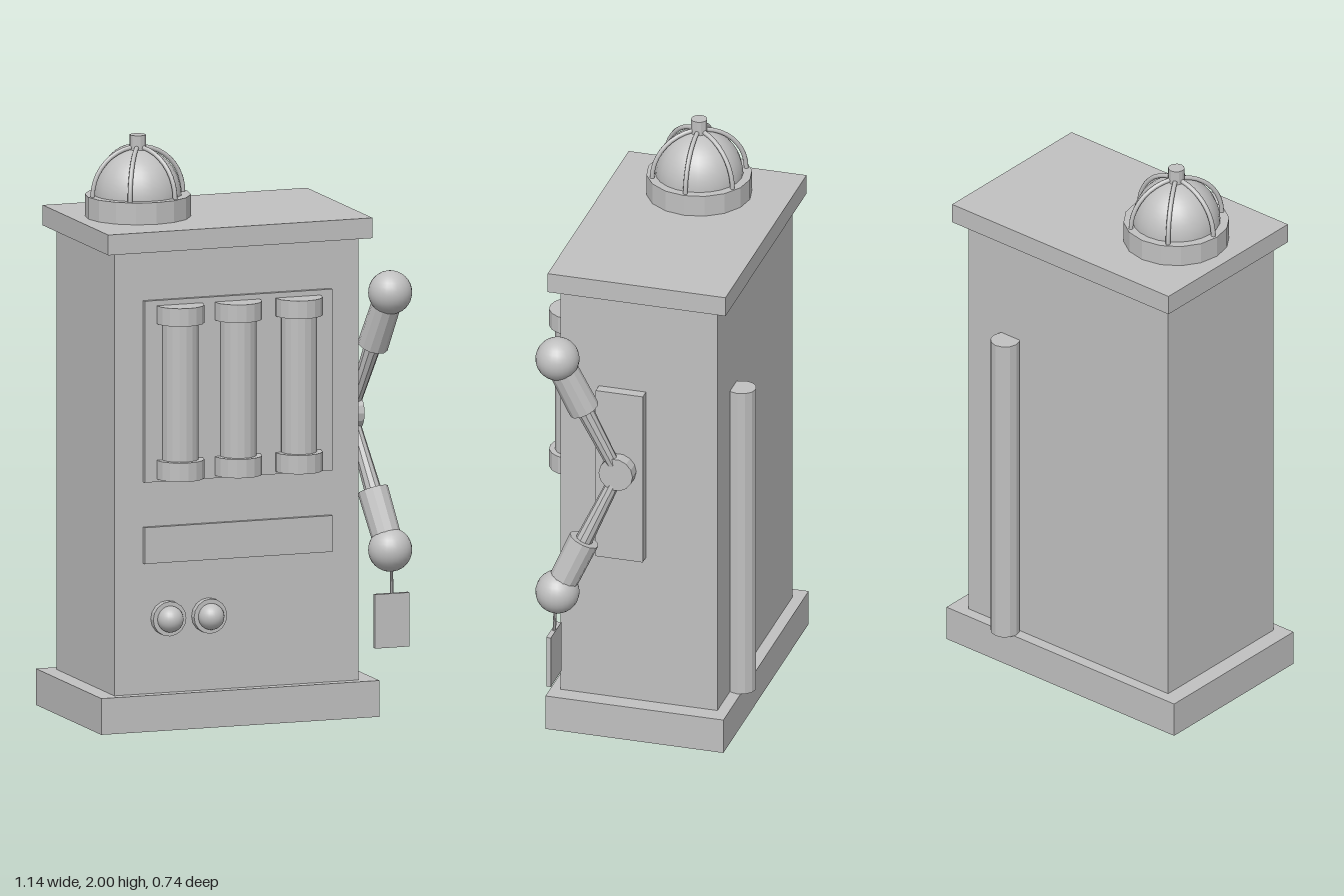
import * as THREE from 'three';

export function createModel() {
  const group = new THREE.Group();
  const grey = new THREE.MeshStandardMaterial({ color: 0xc0c0c0 });

  const add = (name, geo, x = 0, y = 0, z = 0) => {
    const m = new THREE.Mesh(geo, grey);
    m.name = name;
    m.position.set(x, y, z);
    group.add(m);
    return m;
  };
  // Box given by its limits on each axis
  const box = (name, x0, x1, y0, y1, z0, z1) =>
    add(name, new THREE.BoxGeometry(x1 - x0, y1 - y0, z1 - z0),
      (x0 + x1) / 2, (y0 + y1) / 2, (z0 + z1) / 2);
  // Faceted cylinder between two points
  const rod = (name, a, b, r0, r1 = r0, sides = 16) => {
    const p = new THREE.Vector3(...a), q = new THREE.Vector3(...b);
    const dir = q.clone().sub(p);
    const geo = new THREE.CylinderGeometry(r1, r0, dir.length(), sides).toNonIndexed();
    geo.computeVertexNormals();
    const m = add(name, geo);
    m.position.copy(p).add(q).multiplyScalar(0.5);
    m.quaternion.setFromUnitVectors(new THREE.Vector3(0, 1, 0), dir.normalize());
    return m;
  };
  const ball = (name, r, x, y, z) => add(name, new THREE.SphereGeometry(r, 24, 16), x, y, z);

  // Cabinet
  box('base', -0.575, 0.433, 0, 0.125, -0.33, 0.3);
  box('body', -0.515, 0.37, 0.125, 1.65, -0.29, 0.265);
  box('roof', -0.55, 0.408, 1.65, 1.72, -0.33, 0.3);

  // Front panels
  box('tubePanel', -0.41, 0.27, 0.855, 1.48, 0.265, 0.28);
  box('slotPanel', -0.41, 0.27, 0.575, 0.7, 0.265, 0.28);

  // Three capped tubes
  for (const x of [-0.285, -0.075, 0.145]) {
    rod('tube', [x, 0.93, 0.288], [x, 1.4, 0.288], 0.062);
    rod('tubeLowerCap', [x, 0.865, 0.288], [x, 0.93, 0.288], 0.082);
    rod('tubeUpperCap', [x, 1.4, 0.288], [x, 1.462, 0.288], 0.082);
  }

  // Round buttons
  for (const x of [-0.323, -0.175]) {
    rod('buttonCollar', [x, 0.382, 0.26], [x, 0.382, 0.29], 0.06);
    ball('button', 0.045, x, 0.382, 0.295);
  }

  // Caged lamp on the roof
  const lx = -0.323, lz = -0.018;
  rod('lampRing', [lx, 1.72, lz], [lx, 1.795, lz], 0.18);
  add('lampDome', new THREE.SphereGeometry(0.15, 24, 12, 0, Math.PI * 2, 0, Math.PI / 2)
    .scale(1, 1.08, 1), lx, 1.79, lz);
  for (let i = 0; i < 3; i++) {
    const wire = add('lampCageWire', new THREE.TorusGeometry(0.164, 0.008, 8, 20, Math.PI), lx, 1.795, lz);
    wire.rotation.y = i * Math.PI / 3;
  }
  rod('lampFinial', [lx, 1.94, lz], [lx, 2, lz], 0.028, 0.028, 12);

  // Side plate and hinge for the handset arm
  box('sidePlate', 0.37, 0.408, 0.67, 1.3, -0.037, 0.13);
  rod('armHub', [0.405, 1.012, 0.046], [0.453, 1.012, 0.046], 0.06, 0.06, 14);

  // Mirrored upper and lower arms
  for (const s of [1, -1]) {
    const at = t => [0.425 + 0.07 * t, 1.005 + s * 0.443 * t, 0.045 + 0.194 * t];
    rod('armRod', at(0), at(0.6), 0.022, 0.03, 10);
    rod('armSleeve', at(0.56), at(0.95), 0.053, 0.05, 12);
    ball('armBall', 0.075, ...at(1));
  }

  // Hanging tag
  rod('tagString', [0.497, 0.5, 0.246], [0.497, 0.4, 0.25], 0.006, 0.006, 8);
  box('tag', 0.433, 0.557, 0.228, 0.414, 0.244, 0.26);

  // Pipe up the back
  rod('backPipe', [0.182, 0.125, -0.32], [0.182, 1.268, -0.32], 0.05, 0.05, 12);

  return group;
}
